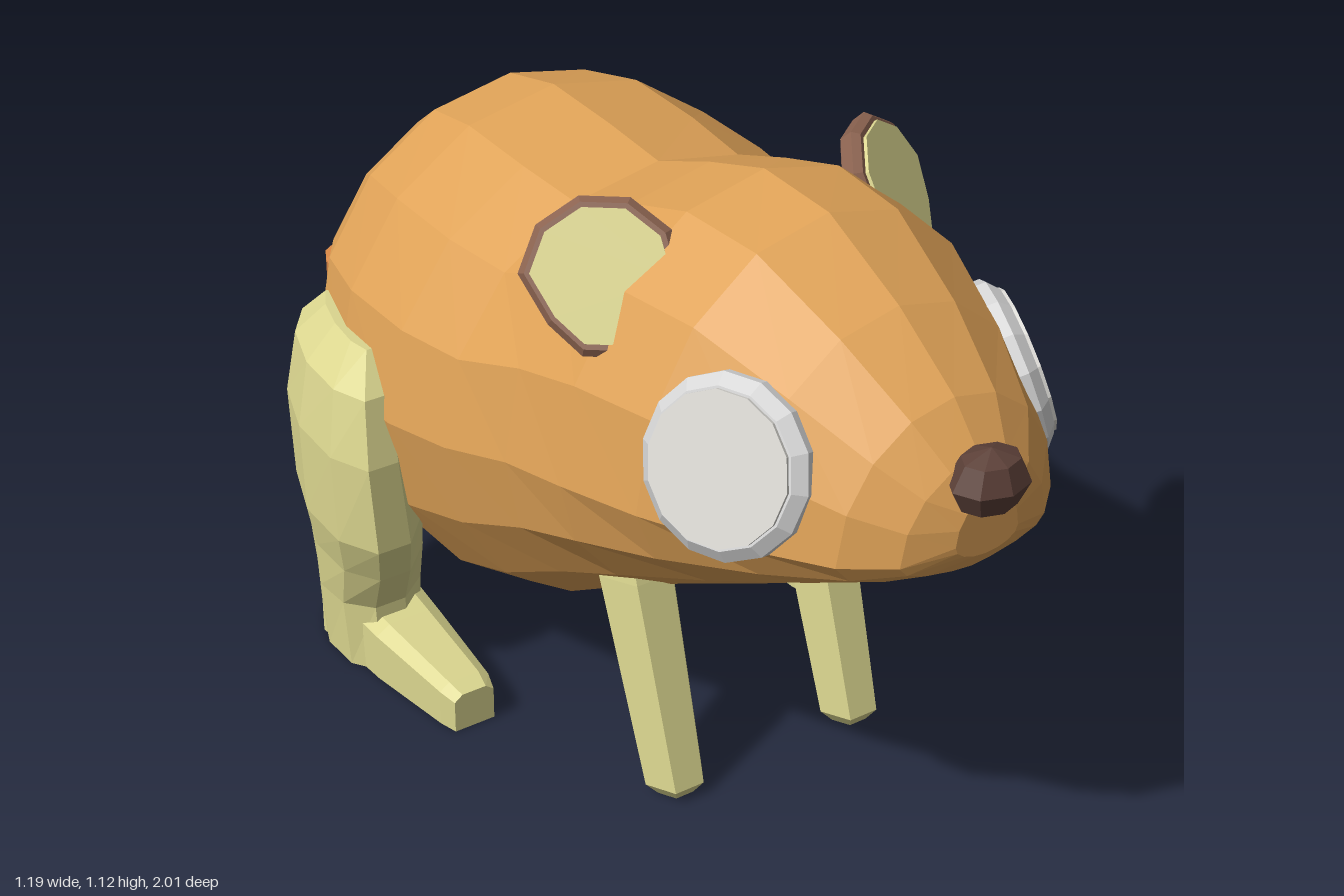
import * as THREE from 'three';

const mat = (name, color) => {
  const m = new THREE.MeshStandardMaterial({ color, flatShading: true });
  m.name = name;
  return m;
};

// Closed skin over a list of rings that all have the same number of points
function loft(rings) {
  const n = rings[0].length, pos = [], idx = [];
  rings.forEach(r => r.forEach(p => pos.push(...p)));
  for (let i = 0; i < rings.length - 1; i++) {
    for (let j = 0; j < n; j++) {
      const k = (j + 1) % n, a = i * n, b = a + n;
      idx.push(a + j, a + k, b + k, a + j, b + k, b + j);
    }
  }
  const last = (rings.length - 1) * n;
  for (let j = 1; j < n - 1; j++) {
    idx.push(0, j + 1, j, last, last + j, last + j + 1);
  }
  const g = new THREE.BufferGeometry();
  g.setAttribute('position', new THREE.Float32BufferAttribute(pos, 3));
  g.setIndex(idx);
  const flat = g.toNonIndexed();
  flat.computeVertexNormals();
  return flat;
}

const ring = (n, fn) => Array.from({ length: n }, (_, j) => {
  const t = (j / n) * Math.PI * 2;
  return fn(Math.cos(t), Math.sin(t));
});

export function createModel() {
  const fur = mat('golden fur', 0xdfa257);
  const limb = mat('pale olive', 0xdbd68f);
  const tailMat = mat('orange tail', 0xd28342);
  const earMat = mat('ear brown', 0x8a624f);
  const noseMat = mat('nose brown', 0x5c4038);
  const rimMat = mat('eye rim grey', 0xd6d6d6);
  const lensMat = mat('eye pale grey', 0xdad8d3);

  const model = new THREE.Group();
  const animal = new THREE.Group();
  animal.name = 'animal';
  animal.rotation.y = 0.394;
  model.add(animal);
  const add = (name, geo, material, parent = animal) => {
    const m = new THREE.Mesh(geo, material);
    m.name = name;
    parent.add(m);
    return m;
  };

  // Body and head: z, half width, bottom, widest height, top, pinch of the underside (creases the jaw)
  const bodySections = [
    [-0.582, 0.13, 0.44, 0.56, 0.68, 1], [-0.53, 0.245, 0.32, 0.57, 0.81, 1],
    [-0.44, 0.345, 0.22, 0.57, 0.92, 1], [-0.33, 0.415, 0.145, 0.57, 1.00, 1],
    [-0.18, 0.455, 0.10, 0.57, 1.035, 1], [0.00, 0.455, 0.108, 0.58, 1.03, 1],
    [0.15, 0.43, 0.18, 0.60, 1.02, 0.9], [0.30, 0.40, 0.28, 0.64, 1.08, 0.85],
    [0.45, 0.388, 0.37, 0.67, 1.13, 0.95], [0.62, 0.355, 0.45, 0.695, 1.125, 1.4],
    [0.80, 0.285, 0.55, 0.71, 1.045, 1.8], [0.94, 0.21, 0.64, 0.725, 0.955, 1.8],
    [1.005, 0.14, 0.69, 0.735, 0.885, 1.4], [1.035, 0.06, 0.73, 0.76, 0.835, 1],
  ];
  add('body', loft(bodySections.map(([z, w, lo, mid, hi, pinch]) => ring(16, (c, s) => [
    w * Math.sign(c) * Math.abs(c) ** (s < -0.01 ? pinch : 1),
    mid + s * (s > 0 ? hi - mid : mid - lo), z,
  ]))), fur);

  // Tail, from tip to root: z, height, radius
  const tailSections = [
    [-1.075, 0.30, 0.025], [-1.04, 0.29, 0.045], [-0.92, 0.255, 0.068],
    [-0.76, 0.216, 0.073], [-0.56, 0.33, 0.075], [-0.44, 0.395, 0.06],
  ];
  add('tail', loft(tailSections.map(([z, y, r]) =>
    ring(6, (c, s) => [-r * s, y + r * c, z]))), tailMat);

  // Nose
  const nose = add('nose', new THREE.SphereGeometry(1, 8, 4), noseMat);
  nose.scale.set(0.07, 0.056, 0.055);
  nose.position.set(0, 0.858, 1.03);

  // Hind leg: height, centre x, centre z, radius x, radius z
  const legSections = [
    [0.005, 0.40, -0.21, 0.09, 0.14], [0.14, 0.40, -0.21, 0.10, 0.13],
    [0.24, 0.41, -0.195, 0.10, 0.175], [0.33, 0.425, -0.185, 0.105, 0.21],
    [0.50, 0.435, -0.195, 0.095, 0.213], [0.62, 0.43, -0.20, 0.075, 0.185],
    [0.68, 0.415, -0.20, 0.03, 0.12],
  ];

  // Front leg: height, centre z, radius
  const armSections = [
    [0.005, 0.495, 0.035], [0.03, 0.49, 0.058],
    [0.40, 0.366, 0.072], [0.50, 0.335, 0.065],
  ];

  // Foot: z, centre x, half width, height
  const footSections = [
    [-0.25, 0.40, 0.08, 0.13], [-0.06, 0.40, 0.068, 0.115],
    [0.12, 0.39, 0.05, 0.088], [0.155, 0.39, 0.04, 0.08],
  ];

  for (const s of [1, -1]) {
    const side = s > 0 ? 'left' : 'right';

    // The hind legs splay outward towards the front
    add(side + 'HindLeg', loft(legSections.map(([y, x, z, rx, rz]) =>
      ring(10, (c, t) => [s * (x - 0.18 * rz * t) + rx * c, y, z - rz * t]))), limb);

    add(side + 'Foot', loft(footSections.map(([z, x, w, h]) => [
      [s * x + w, 0.005, z], [s * x + w, h * 0.85, z], [s * x + w * 0.6, h, z],
      [s * x - w * 0.6, h, z], [s * x - w, h * 0.85, z], [s * x - w, 0.005, z],
    ])), limb);

    add(side + 'FrontLeg', loft(armSections.map(([y, z, r]) =>
      ring(6, (c, t) => [s * 0.188 + r * c, y, z - r * t]))), limb);

    // Eye: bevelled disc with a thin lens plate
    const eye = new THREE.Group();
    eye.name = side + 'Eye';
    eye.position.set(s * 0.276, 0.828, 0.75);
    eye.lookAt(s * 1.176, 1.158, 1.13);
    animal.add(eye);
    const disc = [[-0.03, 0.147], [0.008, 0.147], [0.026, 0.127]];
    add('eyeRim', loft(disc.map(([z, r]) => ring(14, (c, t) => [r * c, r * t, z]))), rimMat, eye);
    add('eyeLens', loft([0.024, 0.032].map(z => ring(14, (c, t) => [0.123 * c, 0.123 * t, z]))), lensMat, eye);

    // Ear: leaning cup, narrow at its root, with a pale inner plate
    const ear = new THREE.Group();
    ear.name = side + 'Ear';
    ear.position.set(s * 0.28, 1.0, 0.41);
    ear.lookAt(s * 0.80, 1.5, 1.09);
    animal.add(ear);
    const earRing = (z, r) => ring(10, (c, t) => [r * c * (t < 0 ? 1 + 0.4 * t : 1), r * t, z]);
    const cup = [[-0.035, 0.085], [-0.012, 0.126], [0.012, 0.132], [0.024, 0.121]];
    add('earShell', loft(cup.map(([z, r]) => earRing(z, r))), earMat, ear);
    add('earInner', loft([0.021, 0.03].map(z => earRing(z, 0.112))), limb, ear);
  }
  return model;
}
